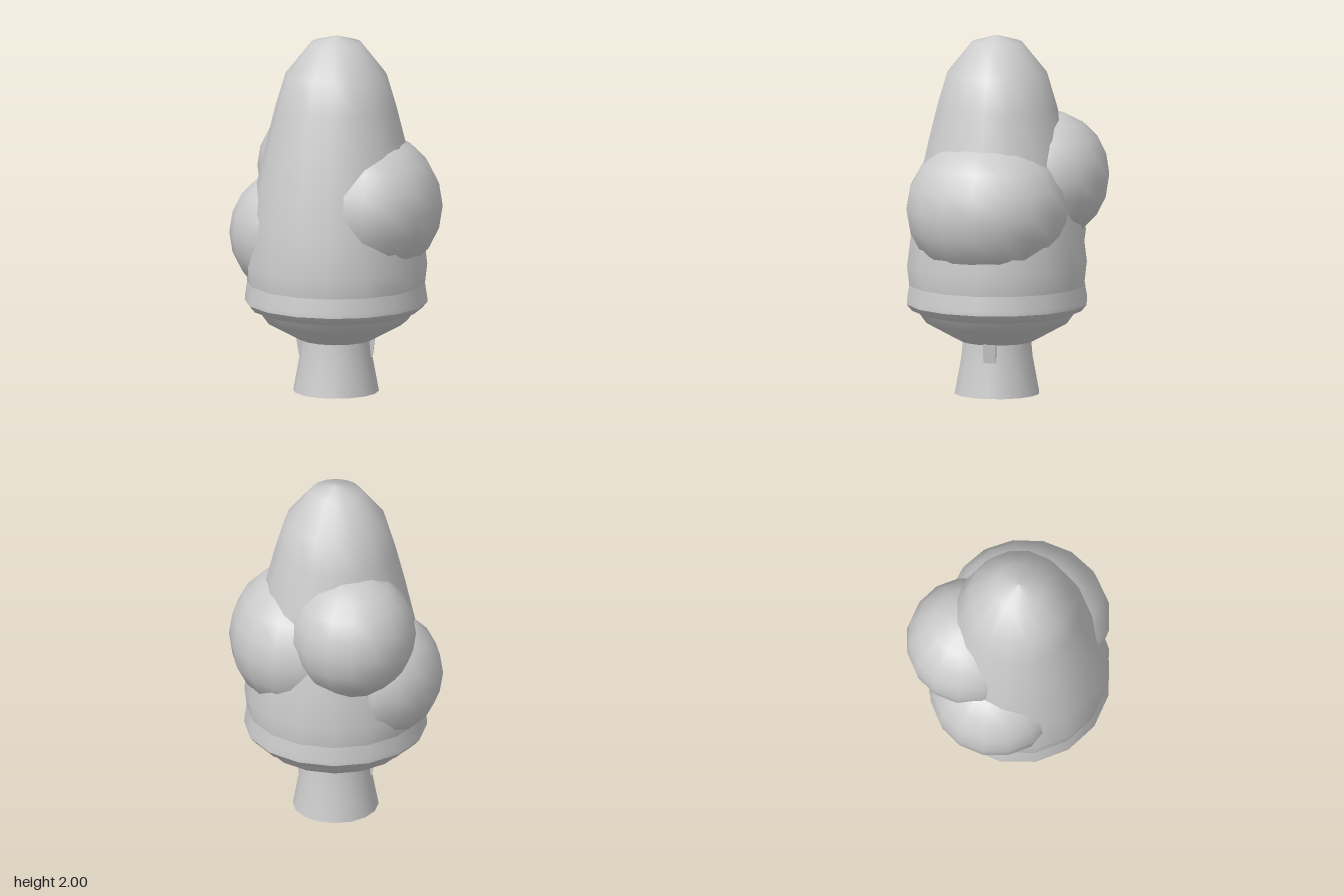
import * as THREE from 'three';

const SIDES = 16;
const AXIS_Z = 0.05;

export function createModel() {
  const model = new THREE.Group();
  const solid = new THREE.MeshStandardMaterial({ color: 0xcccccc });
  const open = new THREE.MeshStandardMaterial({ color: 0xcccccc, side: THREE.DoubleSide });

  const add = (name, geometry, material, x, y, z) => {
    const mesh = new THREE.Mesh(geometry, material);
    mesh.name = name;
    mesh.position.set(x, y, z);
    model.add(mesh);
    return mesh;
  };

  // Turned parts share one vertical axis; profiles are [radius, height], bottom to top
  const turned = (name, profile, material = solid) => add(
    name,
    new THREE.LatheGeometry(profile.map(([r, y]) => new THREE.Vector2(r, y)), SIDES),
    material, 0, 0, AXIS_Z);

  turned('stem', [[0.237, 0], [0.2, 0.2], [0.19, 0.31]], open);
  turned('bowlBase', [[0, 0.29], [0.205, 0.295]]);
  turned('bowl', [[0.205, 0.295], [0.395, 0.4], [0.435, 0.455]]);
  turned('rimUnderside', [[0.435, 0.455], [0.475, 0.47], [0.505, 0.505]]);
  turned('rim', [[0.505, 0.505], [0.504, 0.53], [0.49, 0.62]]);
  turned('body', [[0.49, 0.6], [0.504, 0.72], [0.475, 0.95], [0.437, 1.17], [0.403, 1.32]]);
  turned('dome', [[0.403, 1.32], [0.385, 1.4], [0.335, 1.6], [0.28, 1.785], [0.14, 1.96], [0, 2]]);

  // Tapered bar through the stem, its ends showing as small tabs
  const bar = new THREE.Shape([
    new THREE.Vector2(-0.202, 0.195), new THREE.Vector2(0.202, 0.195),
    new THREE.Vector2(0.215, 0.3), new THREE.Vector2(-0.22, 0.3),
  ]);
  add('crossBar', new THREE.ExtrudeGeometry(bar, { depth: 0.07, bevelEnabled: false }),
    solid, 0, 0, 0.012);

  // Rounded bulges around the body: name, centre, radii
  const bulges = [
    ['leftBulge', [0.18, 1.05, 0.065], [0.41, 0.41, 0.455]],
    ['backBulge', [-0.1, 1.21, -0.205], [0.35, 0.36, 0.355]],
    ['rightBulge', [-0.225, 0.87, -0.03], [0.37, 0.37, 0.37]],
  ];
  for (const [name, centre, radii] of bulges) {
    const geometry = new THREE.SphereGeometry(1, SIDES, 10);
    geometry.scale(...radii);
    add(name, geometry, solid, ...centre);
  }

  return model;
}
